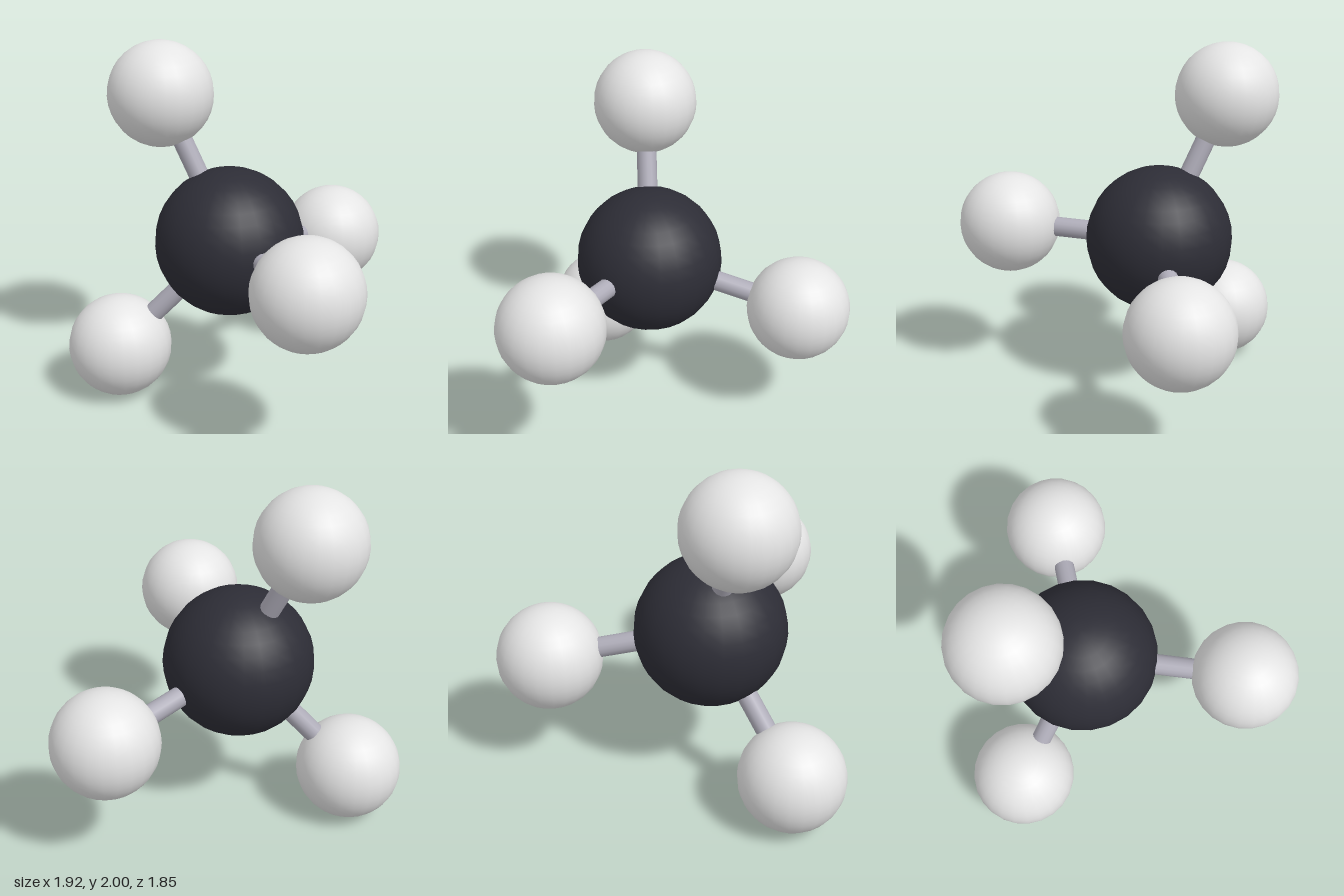
import * as THREE from 'three';

export function createModel() {
  const model = new THREE.Group();
  model.name = 'ballAndStickModel';

  const darkBall = new THREE.MeshStandardMaterial({ name: 'charcoal', color: 0x2d2d36 });
  const lightBall = new THREE.MeshStandardMaterial({ name: 'lightGrey', color: 0xe4e4e4 });
  const stick = new THREE.MeshStandardMaterial({ name: 'stickGrey', color: 0xaeacb8 });

  const center = new THREE.Vector3(-0.195, 0.92, -0.225);
  const outer = [
    ['top', -0.355, 1.71, -0.598],
    ['front', -0.413, 0.945, 0.635],
    ['left', 0.67, 0.727, -0.303],
    ['back', -0.675, 0.295, -0.637],
  ];

  // Central ball
  const core = new THREE.Mesh(new THREE.SphereGeometry(0.412, 24, 18), darkBall);
  core.name = 'centralBall';
  core.position.copy(center);
  model.add(core);

  // Outer balls, each joined to the centre by a rod
  const ballGeometry = new THREE.SphereGeometry(0.29, 24, 18);
  const up = new THREE.Vector3(0, 1, 0);
  for (const [name, x, y, z] of outer) {
    const end = new THREE.Vector3(x, y, z);
    const ball = new THREE.Mesh(ballGeometry, lightBall);
    ball.name = name + 'Ball';
    ball.position.copy(end);

    const direction = end.clone().sub(center);
    const rod = new THREE.Mesh(new THREE.CylinderGeometry(0.056, 0.056, direction.length(), 16), stick);
    rod.name = name + 'Rod';
    rod.position.copy(center).lerp(end, 0.5);
    rod.quaternion.setFromUnitVectors(up, direction.normalize());
    model.add(ball, rod);
  }
  return model;
}
